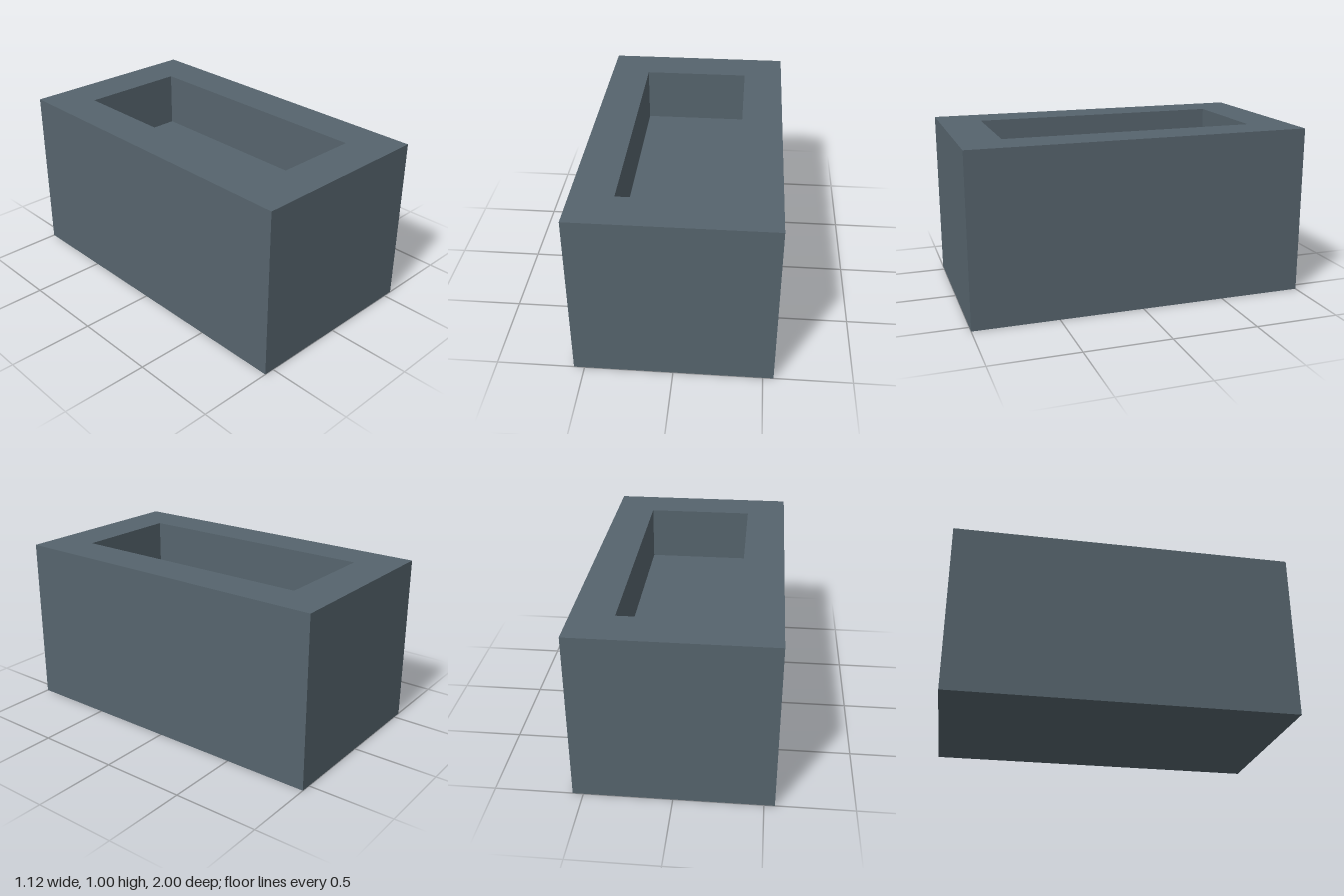
import * as THREE from 'three';

// Rectangular rings from the base, up the outside, over the rim and down into the recess
const RINGS = [
  { x: 0.56, y: 0, z: 1 },
  { x: 0.56, y: 1, z: 1 },
  { x: 0.32, y: 1, z: 0.75 },
  { x: 0.32, y: 0.67, z: 0.75 },
];

// Four corners of a ring, counter-clockwise from above
const corners = ({ x, y, z }) => [[x, y, z], [x, y, -z], [-x, y, -z], [-x, y, z]];

function troughGeometry() {
  const positions = [];
  const quad = (a, b, c, d) => positions.push(...a, ...b, ...c, ...a, ...c, ...d);
  const loops = RINGS.map(corners);

  // Outer walls, rim and recess walls
  for (let r = 0; r < loops.length - 1; r++) {
    for (let i = 0; i < 4; i++) {
      const j = (i + 1) % 4;
      quad(loops[r][i], loops[r][j], loops[r + 1][j], loops[r + 1][i]);
    }
  }
  // Underside and recess floor
  quad(...[...loops[0]].reverse());
  quad(...loops[loops.length - 1]);

  const geometry = new THREE.BufferGeometry();
  geometry.setAttribute('position', new THREE.Float32BufferAttribute(positions, 3));
  geometry.computeVertexNormals();
  return geometry;
}

export function createModel() {
  const slate = new THREE.MeshStandardMaterial({ color: 0x56646d });
  slate.name = 'slate grey';

  const trough = new THREE.Mesh(troughGeometry(), slate);
  trough.name = 'recessedBlock';

  const model = new THREE.Group();
  model.name = 'trough';
  model.add(trough);
  return model;
}
